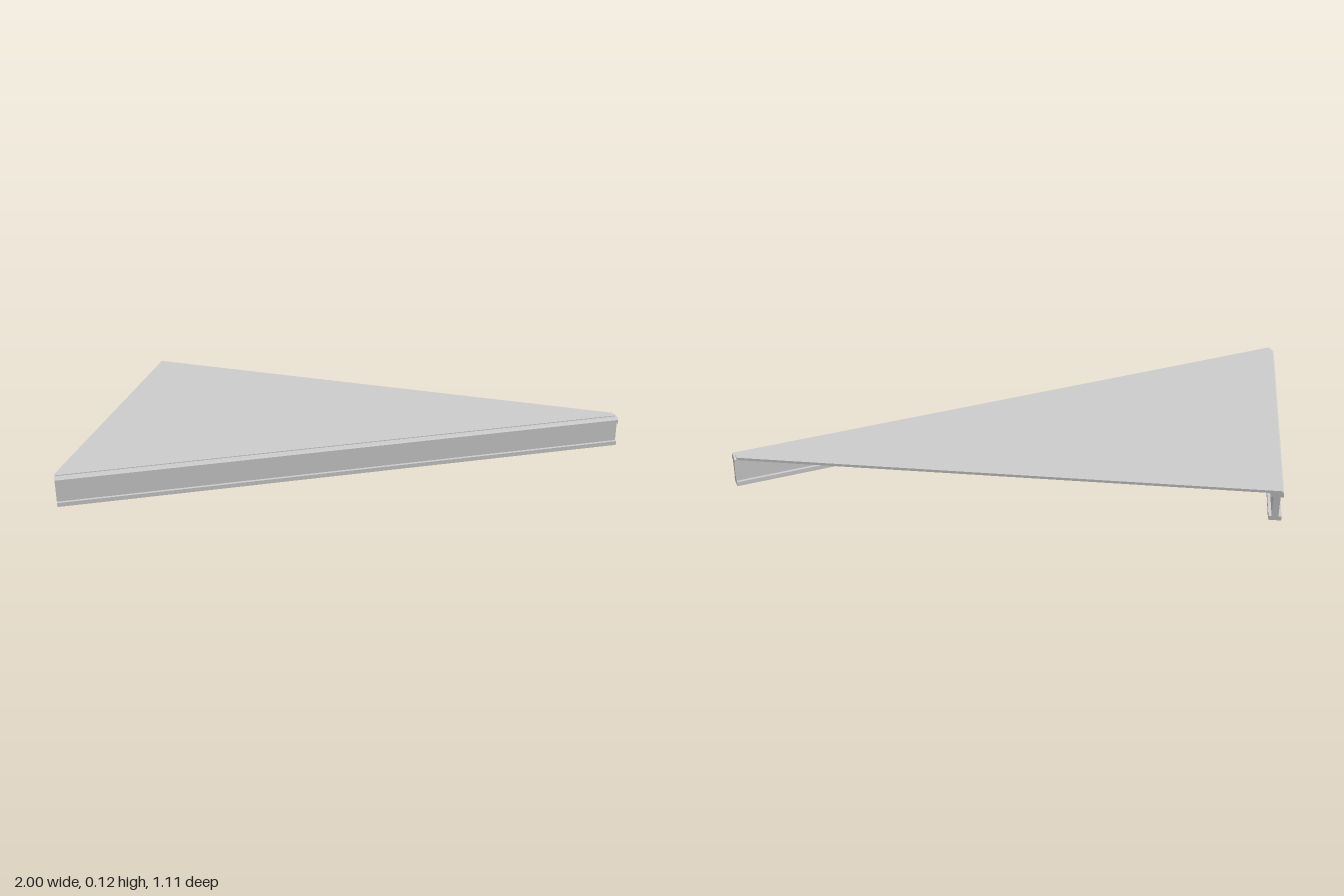
import * as THREE from 'three';

const material = new THREE.MeshStandardMaterial({ color: 0xcccccc, flatShading: true });
const W = 0.046; // flange width

// I-section, symmetric about x = 0, with chamfered upper edges
function beamSection() {
  const half = [
    [W / 2, 0], [W / 2, 0.017], [0.012, 0.017], [0.012, 0.098],
    [W / 2, 0.098], [W / 2, 0.114], [W / 2 - 0.005, 0.121],
  ];
  const mirrored = half.map(([x, y]) => [-x, y]).reverse();
  return new THREE.Shape([...half, ...mirrored].map(([x, y]) => new THREE.Vector2(x, y)));
}

// Beam running between two points [x, z] on its centre line, with square ends
function beam(name, from, to) {
  const dx = to[0] - from[0];
  const dz = to[1] - from[1];
  const geometry = new THREE.ExtrudeGeometry(beamSection(), { depth: Math.hypot(dx, dz), bevelEnabled: false });
  const mesh = new THREE.Mesh(geometry, material);
  mesh.name = name;
  mesh.position.set(from[0], 0, from[1]);
  mesh.rotation.y = Math.atan2(dx, dz);
  return mesh;
}

export function createModel() {
  const group = new THREE.Group();
  group.name = 'triangularPlatform';

  // Beams under the long diagonal edge and the short side; the back edge stays open
  group.add(beam('diagonalBeam', [-0.989, 0.536], [0.988, -0.536]));
  group.add(beam('sideBeam', [-1 + W / 2, -0.536], [-1 + W / 2, 0.505]));

  // Thin triangular deck resting on both beams
  const outline = [[-0.993, -0.536], [0.968, -0.555], [0.982, -0.531], [-0.985, 0.534], [-0.993, 0.518]];
  const shape = new THREE.Shape(outline.map(([x, z]) => new THREE.Vector2(x, -z)));
  const deck = new THREE.Mesh(new THREE.ExtrudeGeometry(shape, { depth: 0.01, bevelEnabled: false }), material);
  deck.name = 'deck';
  deck.rotation.x = -Math.PI / 2;
  deck.position.y = 0.114;
  group.add(deck);

  return group;
}
